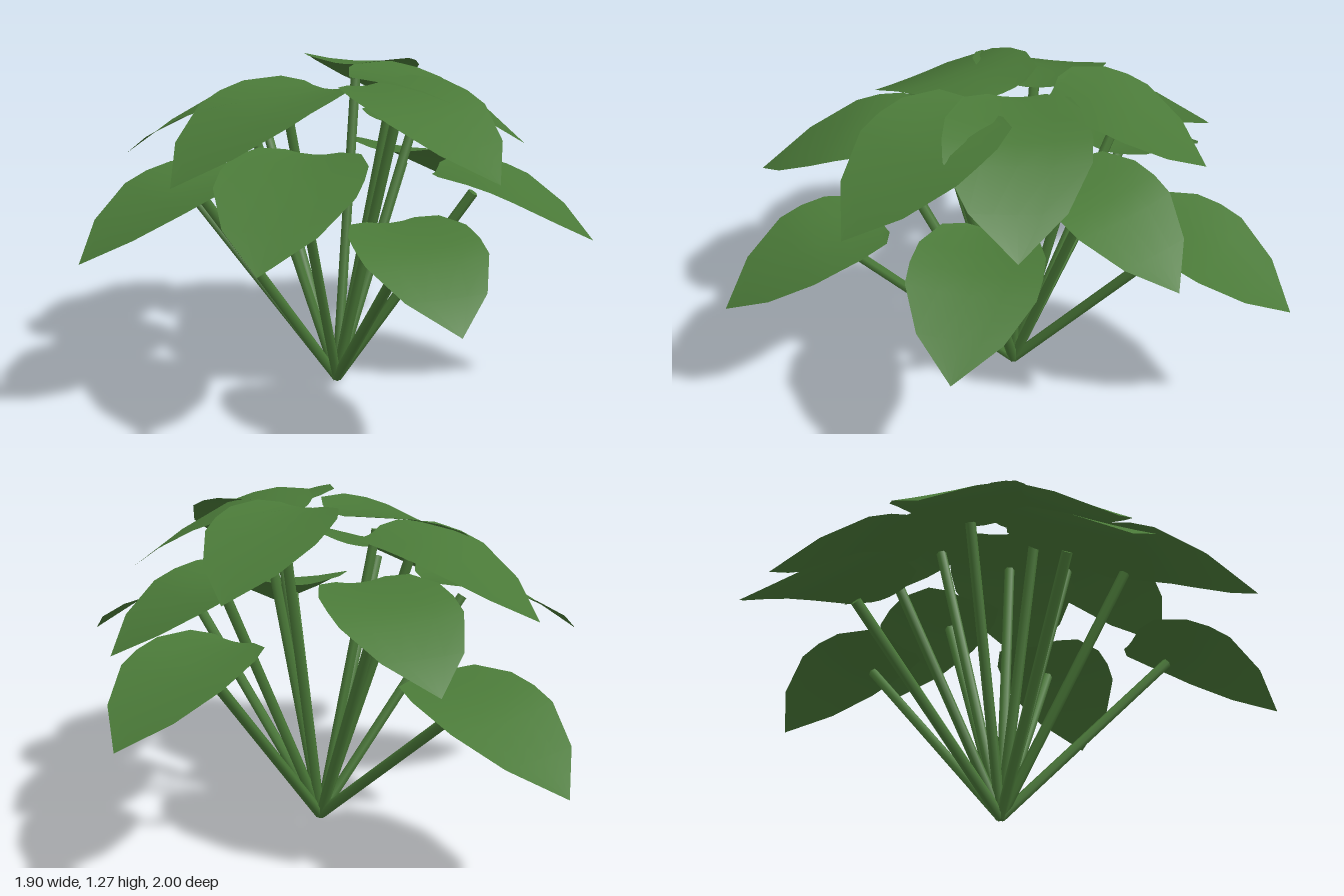
import * as THREE from 'three';

const leafGreen = new THREE.MeshStandardMaterial({ color: 0x4a7938, side: THREE.DoubleSide });
leafGreen.name = 'leaf green';

const root = new THREE.Vector3(0.045, 0, -0.1);

// leaf outline: [fraction of length from base to tip, half width relative to the widest]
const outline = [
  [0, 0.4], [0.06, 0.74], [0.25, 0.97], [0.4, 1.01], [0.54, 0.99], [0.79, 0.65], [1, 0],
];

// each leaf: tip x, tip y, tip z, length
const leaves = [
  [-0.80, 0.44, -0.99, 0.65],
  [-0.38, 0.77, -0.955, 0.61],
  [-0.74, 0.87, -0.415, 0.65],
  [-0.95, 0.64, 0.30, 0.65],
  [-0.62, 0.90, 0.29, 0.70],
  [-0.38, 0.725, 0.82, 0.67],
  [0.27, 0.54, 1.00, 0.60],
  [0.50, 0.94, 0.585, 0.66],
  [0.95, 0.63, 0.28, 0.60],
  [0.75, 0.95, 0.02, 0.67],
  [0.755, 0.77, -0.54, 0.59],
  [0.68, 0.58, -0.98, 0.60],
  [0.345, 1.01, -0.735, 0.57],
];

const DROOP = 0.39; // fall of the tip per unit of length

// blade along +z with its base at the origin: arched downward, sides lifted near the base
function bladeGeometry(length) {
  const cols = 4;
  const geo = new THREE.PlaneGeometry(2, 1, cols, outline.length - 1).rotateX(-Math.PI / 2);
  const pos = geo.attributes.position;
  for (let i = 0; i < pos.count; i++) {
    const [s, w] = outline[Math.floor(i / (cols + 1))];
    const u = pos.getX(i);
    const y = -DROOP * s ** 2.2 + 0.05 * u * u * w * (1 - s);
    pos.setXYZ(i, u * w * 0.385 * length, y * length, s * length);
  }
  geo.computeVertexNormals();
  return geo;
}

// straight stalk between two points
function stalk(from, to) {
  const axis = to.clone().sub(from);
  const mesh = new THREE.Mesh(new THREE.CylinderGeometry(0.02, 0.02, axis.length(), 6), leafGreen);
  mesh.position.copy(from).addScaledVector(axis, 0.5);
  mesh.quaternion.setFromUnitVectors(new THREE.Vector3(0, 1, 0), axis.normalize());
  mesh.name = 'stalk';
  return mesh;
}

export function createModel() {
  const plant = new THREE.Group();
  plant.name = 'leafyPlant';
  for (const [x, y, z, length] of leaves) {
    const tip = new THREE.Vector3(x, y, z);
    // every leaf points straight outward from the root
    const out = new THREE.Vector3(x - root.x, 0, z - root.z).normalize();
    const base = tip.clone().addScaledVector(out, -length);
    base.y += DROOP * length;

    const blade = new THREE.Mesh(bladeGeometry(length), leafGreen);
    blade.name = 'leafBlade';
    blade.position.copy(base);
    blade.rotation.y = Math.atan2(out.x, out.z);

    // the stalk ends just under the blade, a little in from its base
    const top = base.clone().addScaledVector(out, 0.24 * length);
    top.y -= 0.075;

    const leaf = new THREE.Group();
    leaf.name = 'leaf';
    leaf.add(blade, stalk(root, top));
    plant.add(leaf);
  }
  return plant;
}
